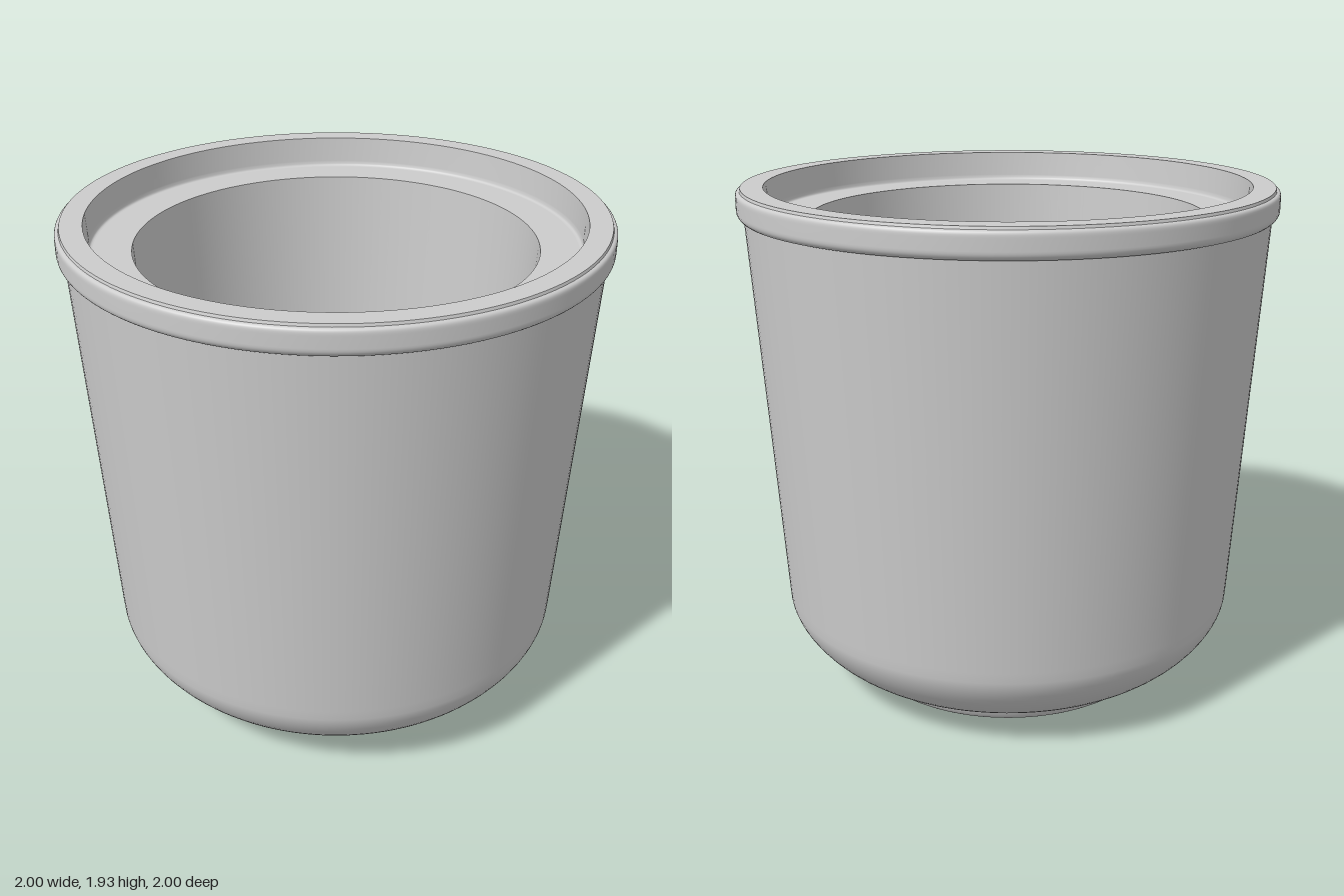
import * as THREE from 'three';

const ceramic = new THREE.MeshStandardMaterial({ color: 0xcccccc });
ceramic.name = 'light grey';

// Revolves one smooth stretch of the profile; separate stretches keep edges sharp.
function turned(name, points) {
  const profile = points.map(([r, y]) => new THREE.Vector2(r, y));
  const mesh = new THREE.Mesh(new THREE.LatheGeometry(profile, 128), ceramic);
  mesh.name = name;
  return mesh;
}

// Points along a cubic curve between two profile points.
function bend(a, b, c, d, steps = 14) {
  const v = [a, b, c, d].map(([r, y]) => new THREE.Vector2(r, y));
  return new THREE.CubicBezierCurve(...v).getPoints(steps).map((p) => [p.x, p.y]);
}

export function createModel() {
  const pot = new THREE.Group();
  pot.name = 'pot';

  // Profile runs from the underside, up the outside and down the inside.
  pot.add(
    turned('base', [[0, 0], [0.54, 0]]),
    turned('foot', bend([0.54, 0], [0.595, 0], [0.6, 0.01], [0.622, 0.065])),
    turned('body', [
      ...bend([0.622, 0.065], [0.74, 0.09], [0.87, 0.22], [0.882, 0.32]),
      [0.885, 0.36], [0.93, 1.1], [0.975, 1.83],
    ]),
    turned('rimUnderside', [[0.972, 1.828], [0.984, 1.83]]),
    turned('rimBand', [
      ...bend([0.984, 1.83], [0.995, 1.838], [1, 1.845], [1, 1.86], 6),
      [1, 1.9],
      ...bend([1, 1.905], [1, 1.918], [0.996, 1.924], [0.985, 1.925], 6),
    ]),
    turned('rimLip', [[0.985, 1.925], [0.982, 1.935]]),
    turned('rimTop', [[0.982, 1.935], [0.9, 1.935]]),
    turned('lidSeatWall', [
      [0.9, 1.935], [0.893, 1.84],
      ...bend([0.892, 1.835], [0.89, 1.824], [0.888, 1.82], [0.878, 1.82], 5),
    ]),
    turned('lidSeat', [[0.878, 1.82], [0.737, 1.82]]),
    turned('innerWall', [
      [0.737, 1.82], [0.7, 1.1], [0.662, 0.42],
      ...bend([0.66, 0.38], [0.65, 0.24], [0.54, 0.15], [0.38, 0.13]),
    ]),
    turned('innerFloor', [[0.38, 0.13], [0, 0.13]]),
  );
  return pot;
}
